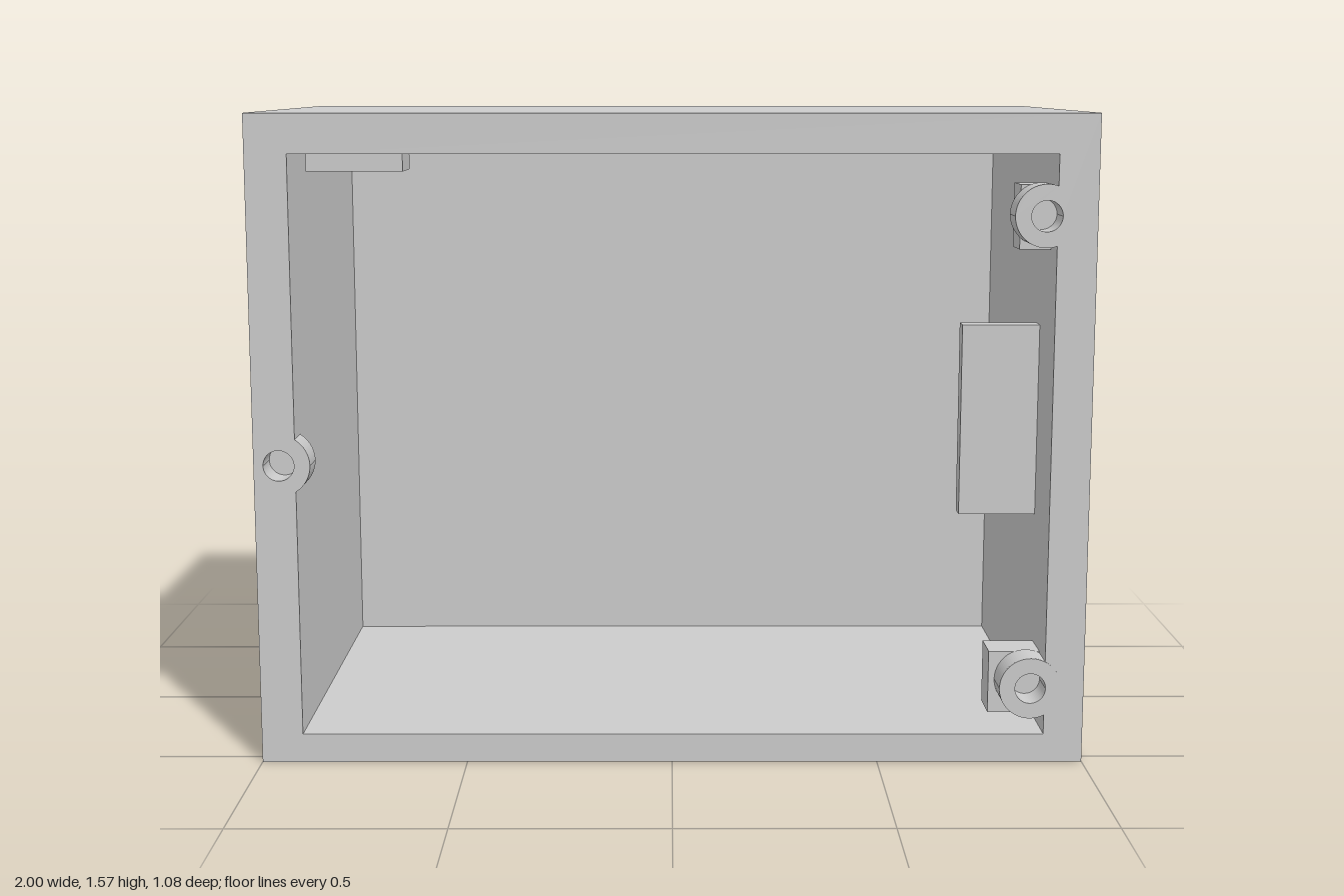
import * as THREE from 'three';

const W = 1, H = 1.57, FRONT = 0.54, BACK = -0.54;
const INNER = { l: -0.9, r: 0.905, b: 0.07, t: 1.475 };
const LIP = 0.46;          // rear face of the screw bosses
const FLOOR = -0.47;       // inner face of the back wall
const BOSS_R = 0.075, HOLE_R = 0.037;
const LEFT_BOSS = [-0.94, 0.735], LOW_BOSS = [0.87, 0.185], TOP_BOSS = [0.88, 1.33];

export function createModel() {
  const group = new THREE.Group();
  const material = new THREE.MeshStandardMaterial({ color: 0xcccccc });

  const add = (name, geometry, z = 0) => {
    const mesh = new THREE.Mesh(geometry, material);
    mesh.name = name;
    mesh.position.z = z;
    group.add(mesh);
  };
  const block = (name, x0, x1, y0, y1, z0, z1) => {
    const g = new THREE.BoxGeometry(x1 - x0, y1 - y0, z1 - z0);
    add(name, g.translate((x0 + x1) / 2, (y0 + y1) / 2, (z0 + z1) / 2));
  };
  const slab = (name, shape, z0, z1) => add(name,
    new THREE.ExtrudeGeometry(shape, { depth: z1 - z0, bevelEnabled: false, curveSegments: 32 }), z0);
  const circle = ([x, y], r) => new THREE.Path().absarc(x, y, r, 0, Math.PI * 2);
  const outline = () => new THREE.Shape()
    .moveTo(-W, 0).lineTo(W, 0).lineTo(W, H).lineTo(-W, H).closePath();

  // Opening edge; with bosses it bulges inward around each screw hole
  const opening = (bosses) => {
    const p = new THREE.Path().moveTo(INNER.l, INNER.b).lineTo(INNER.r, INNER.b);
    if (bosses) for (const [x, y] of [LOW_BOSS, TOP_BOSS]) {
      const a = Math.acos((INNER.r - x) / BOSS_R);
      p.absarc(x, y, BOSS_R, -a, a, true);
    }
    p.lineTo(INNER.r, INNER.t).lineTo(INNER.l, INNER.t);
    if (bosses) {
      const a = Math.acos((INNER.l - LEFT_BOSS[0]) / BOSS_R);
      p.absarc(...LEFT_BOSS, BOSS_R, a, -a, true);
    }
    return p.closePath();
  };

  // Front rim with the three bosses and their screw holes
  const rim = outline();
  rim.holes.push(opening(true), ...[LEFT_BOSS, LOW_BOSS, TOP_BOSS].map(c => circle(c, HOLE_R)));
  slab('frontRim', rim, LIP, FRONT);

  // Side walls and closed back
  const walls = outline();
  walls.holes.push(opening(false));
  slab('walls', walls, FLOOR, LIP);
  slab('backWall', outline(), BACK, FLOOR);

  // Lower boss stands slightly proud of the rim
  const ring = new THREE.Shape().absarc(...LOW_BOSS, BOSS_R, 0, Math.PI * 2);
  ring.holes.push(circle(LOW_BOSS, HOLE_R));
  slab('bossFace', ring, FRONT, FRONT + 0.003);

  // Support blocks behind the bosses, and inner mounting pieces
  block('upperBossSupport', 0.83, 0.92, 1.245, 1.4, 0.36, LIP);
  block('lowerBossSupport', 0.78, 0.92, 0.1, 0.255, 0.36, LIP);
  block('sideBracket', 0.715, 0.92, 0.575, 1.05, 0.29, 0.34);
  block('topBracket', -0.89, -0.655, 1.425, 1.49, 0.2, 0.34);

  return group;
}
